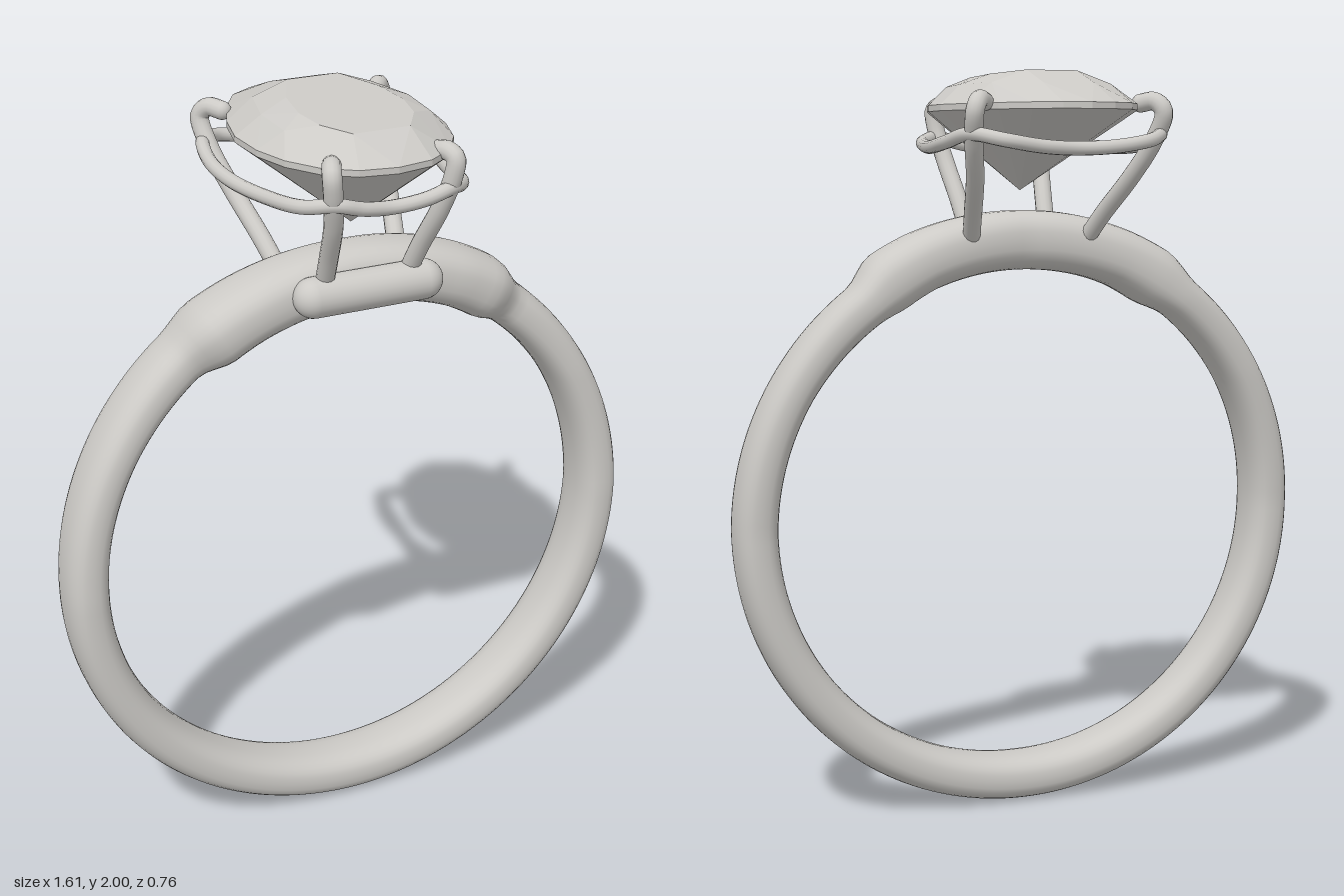
import * as THREE from 'three';
import { ConvexGeometry } from 'three/addons/geometries/ConvexGeometry.js';

const V = (x, y, z) => new THREE.Vector3(x, y, z);

// Band cross-section by angle from the top: degrees, inner radius, outer radius, back z, front z
const BAND = [
  [0, 0.672, 0.832, 0.02, 0.2],
  [22, 0.674, 0.834, 0.0, 0.208],
  [31, 0.668, 0.832, -0.01, 0.203],
  [37, 0.682, 0.802, -0.013, 0.157],
  [60, 0.69, 0.802, 0.0, 0.178],
  [90, 0.69, 0.805, 0.024, 0.195],
  [180, 0.68, 0.805, 0.03, 0.2],
];

function bandAt(deg) {
  let k = 0;
  while (k < BAND.length - 2 && deg > BAND[k + 1][0]) k++;
  const a = BAND[k], b = BAND[k + 1];
  const f = (deg - a[0]) / (b[0] - a[0]);
  return a.map((v, i) => v + (b[i] - v) * f);
}

// Closed loft of rounded-square sections around the finger hole
function bandGeometry() {
  const N = 180, M = 28, CY = 0.805, pos = [], idx = [];
  const round = (v) => Math.sign(v) * Math.pow(Math.abs(v), 0.8);
  for (let i = 0; i < N; i++) {
    const t = (i / N) * Math.PI * 2;
    const deg = (Math.min(i, N - i) / N) * 360;
    const [, rin, rout, z0, z1] = bandAt(deg);
    for (let j = 0; j < M; j++) {
      const p = (j / M) * Math.PI * 2;
      const r = (rin + rout) / 2 + ((rout - rin) / 2) * round(Math.cos(p));
      const z = (z0 + z1) / 2 + ((z1 - z0) / 2) * round(Math.sin(p));
      pos.push(r * Math.sin(t), CY + r * Math.cos(t), z);
      const a = i * M + j, b = i * M + ((j + 1) % M);
      const c = ((i + 1) % N) * M + j, d = ((i + 1) % N) * M + ((j + 1) % M);
      idx.push(a, b, c, b, d, c);
    }
  }
  const g = new THREE.BufferGeometry();
  g.setAttribute('position', new THREE.Float32BufferAttribute(pos, 3));
  g.setIndex(idx);
  g.computeVertexNormals();
  return g;
}

// Faceted oval stone: girdle, sloping crown and off-centre point below
function stoneGeometry() {
  const half = [[0, -0.385], [0.07, -0.367], [0.135, -0.325], [0.19, -0.235], [0.235, -0.12],
    [0.262, 0], [0.255, 0.12], [0.225, 0.22], [0.17, 0.305], [0.095, 0.358], [0, 0.375]];
  const crown = [[0.07, 2.0, -0.12], [0.125, 1.993, 0], [0.14, 1.987, 0.11], [0.125, 1.981, 0.2],
    [0.075, 1.976, 0.28], [0.2, 1.966, 0.02], [0.195, 1.962, 0.15], [0.165, 1.967, -0.12],
    [0.07, 1.966, -0.23]];
  const pts = [V(0, 1.69, 0.11)];
  for (const s of [1, -1]) {
    for (const [x, z] of half) pts.push(V(s * x, 1.913, z), V(s * x, 1.897, z));
    for (const [x, y, z] of crown) pts.push(V(s * x, y, z));
  }
  return new ConvexGeometry(pts);
}

export function createModel() {
  const metal = new THREE.MeshStandardMaterial({ color: 0xcccac6 });
  metal.name = 'silver';
  const gem = new THREE.MeshStandardMaterial({ color: 0xcccac6, flatShading: true });
  gem.name = 'stone grey';

  const model = new THREE.Group();
  model.name = 'ring';
  const add = (name, geometry, material = metal, parent = model) => {
    const m = new THREE.Mesh(geometry, material);
    m.name = name;
    parent.add(m);
    return m;
  };

  add('band', bandGeometry());
  add('stone', stoneGeometry(), gem);

  // Rounded bar carrying the front prongs
  const bar = add('frontBar', new THREE.CapsuleGeometry(0.052, 0.3, 10, 24));
  bar.rotation.z = Math.PI / 2;
  bar.position.set(0, 1.55, 0.215);

  // Prongs hooking over the stone, with rounded tips
  const prongs = {
    frontProng: [[0.115, 1.57, 0.2], [0.125, 1.66, 0.25], [0.142, 1.77, 0.315],
      [0.158, 1.86, 0.348], [0.162, 1.905, 0.35], [0.152, 1.918, 0.325], [0.14, 1.914, 0.3]],
    backProng: [[0.165, 1.56, 0.04], [0.185, 1.63, -0.03], [0.218, 1.73, -0.14],
      [0.247, 1.82, -0.212], [0.257, 1.895, -0.25], [0.24, 1.92, -0.232], [0.215, 1.916, -0.2]],
  };
  for (const [name, path] of Object.entries(prongs)) {
    for (const s of [1, -1]) {
      const group = new THREE.Group();
      group.name = name + (s > 0 ? 'Left' : 'Right');
      const pts = path.map(([x, y, z]) => V(s * x, y, z));
      const curve = new THREE.CatmullRomCurve3(pts);
      add('prongWire', new THREE.TubeGeometry(curve, 48, 0.024, 14), metal, group);
      add('prongTip', new THREE.SphereGeometry(0.024, 16, 12), metal, group)
        .position.copy(pts[pts.length - 1]);
      model.add(group);
    }
  }

  // Wavy wire rail joining the prongs under the stone
  const side = [[0.085, 1.815, 0.352], [0.15, 1.833, 0.352], [0.21, 1.82, 0.295],
    [0.25, 1.806, 0.15], [0.28, 1.806, 0], [0.284, 1.818, -0.12], [0.26, 1.836, -0.225],
    [0.195, 1.82, -0.3], [0.1, 1.805, -0.305]];
  const rail = [V(0, 1.803, 0.34), ...side.map((p) => V(...p)), V(0, 1.8, -0.295),
    ...side.slice().reverse().map(([x, y, z]) => V(-x, y, z))];
  add('galleryRail',
    new THREE.TubeGeometry(new THREE.CatmullRomCurve3(rail, true), 160, 0.018, 12, true));

  return model;
}
